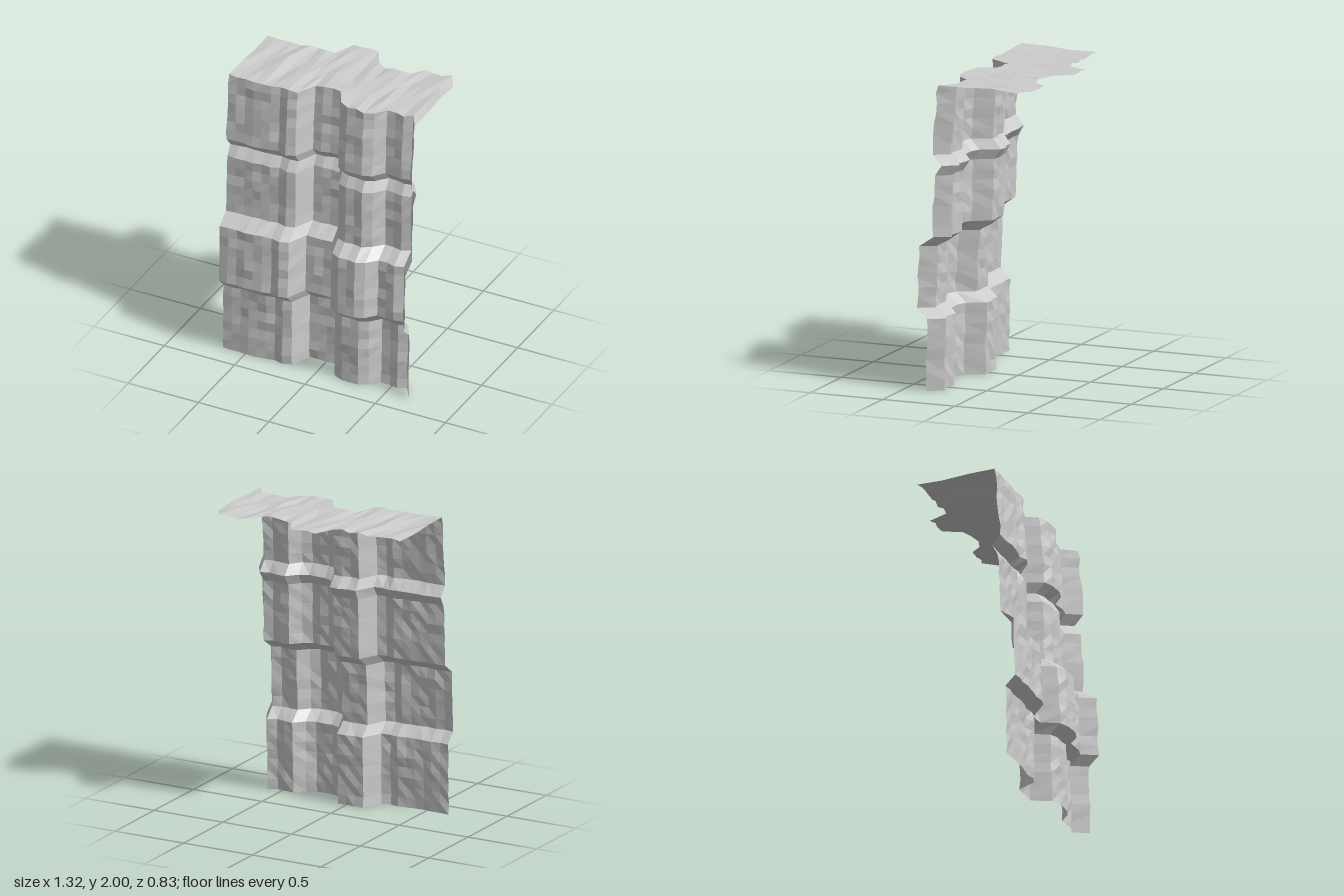
import * as THREE from 'three';

const COLS = 22, ROWS = 30, WIDTH = 1.32, HEIGHT = 2, DEPTH = 0.53;

// Depth of the rock face at each column, from -x to +x
const columnZ = [
  0.352, 0.352, 0.345, 0.35, 0.347, 0.343, 0.333, 0.35, 0.333, 0.203, 0.205, 0.198,
  0.2, 0.32, 0.345, 0.345, 0.352, 0.322, 0.257, 0.26, 0.27, 0.25, 0.352,
];

// Ledges: [row from the ground, depth offset]
const ledges = [[0, 0], [7, -0.01], [8, 0.06], [14, 0.04], [15, -0.05], [21, -0.062], [22, -0.105], [23, -0.048], [30, -0.083]];

function ledgeZ(row) {
  for (let i = 1; i < ledges.length; i++) {
    const [r0, z0] = ledges[i - 1], [r1, z1] = ledges[i];
    if (row <= r1) return z0 + (z1 - z0) * (row - r0) / (r1 - r0);
  }
  return ledges[ledges.length - 1][1];
}

// Repeatable roughness between -1 and 1
function rough(a, b) {
  const s = Math.sin(a * 127.1 + b * 311.7) * 43758.5453;
  return (s - Math.floor(s)) * 2 - 1;
}

const faceZ = (col, row) => columnZ[col] + ledgeZ(row) + 0.007 * rough(col, row);
const rimY = (col, step) => 1.99 + 0.009 * rough(col + 50, step);

// Grid sheet whose points are placed by a rule of column and row
function sheet(name, rows, material, place) {
  const geo = new THREE.PlaneGeometry(1, 1, COLS, rows);
  const pos = geo.attributes.position;
  for (let j = 0; j <= rows; j++) {
    for (let i = 0; i <= COLS; i++) {
      const [y, z] = place(i, j);
      pos.setXYZ(j * (COLS + 1) + i, (i / COLS - 0.5) * WIDTH, y, z);
    }
  }
  geo.computeVertexNormals();
  const mesh = new THREE.Mesh(geo, material);
  mesh.name = name;
  return mesh;
}

export function createModel() {
  const group = new THREE.Group();
  group.name = 'cliff';
  const rock = new THREE.MeshStandardMaterial({ color: 0xcccccc, flatShading: true, side: THREE.DoubleSide });
  rock.name = 'grey rock';

  // Stepped vertical face, rows counted downward from the rim
  group.add(sheet('cliffFace', ROWS, rock, (i, j) => {
    const row = ROWS - j;
    return [j === 0 ? rimY(i, 3) : row * HEIGHT / ROWS, faceZ(i, row)];
  }));

  // Plateau running back from the rim, following the same outline
  const steps = 3;
  group.add(sheet('plateau', steps, rock, (i, j) => {
    const back = 1 - j / steps;
    const wobble = j === steps ? 0 : 0.005 * rough(i + 9, j + 70);
    return [rimY(i, j), faceZ(i, ROWS) - back * DEPTH + wobble];
  }));

  return group;
}
